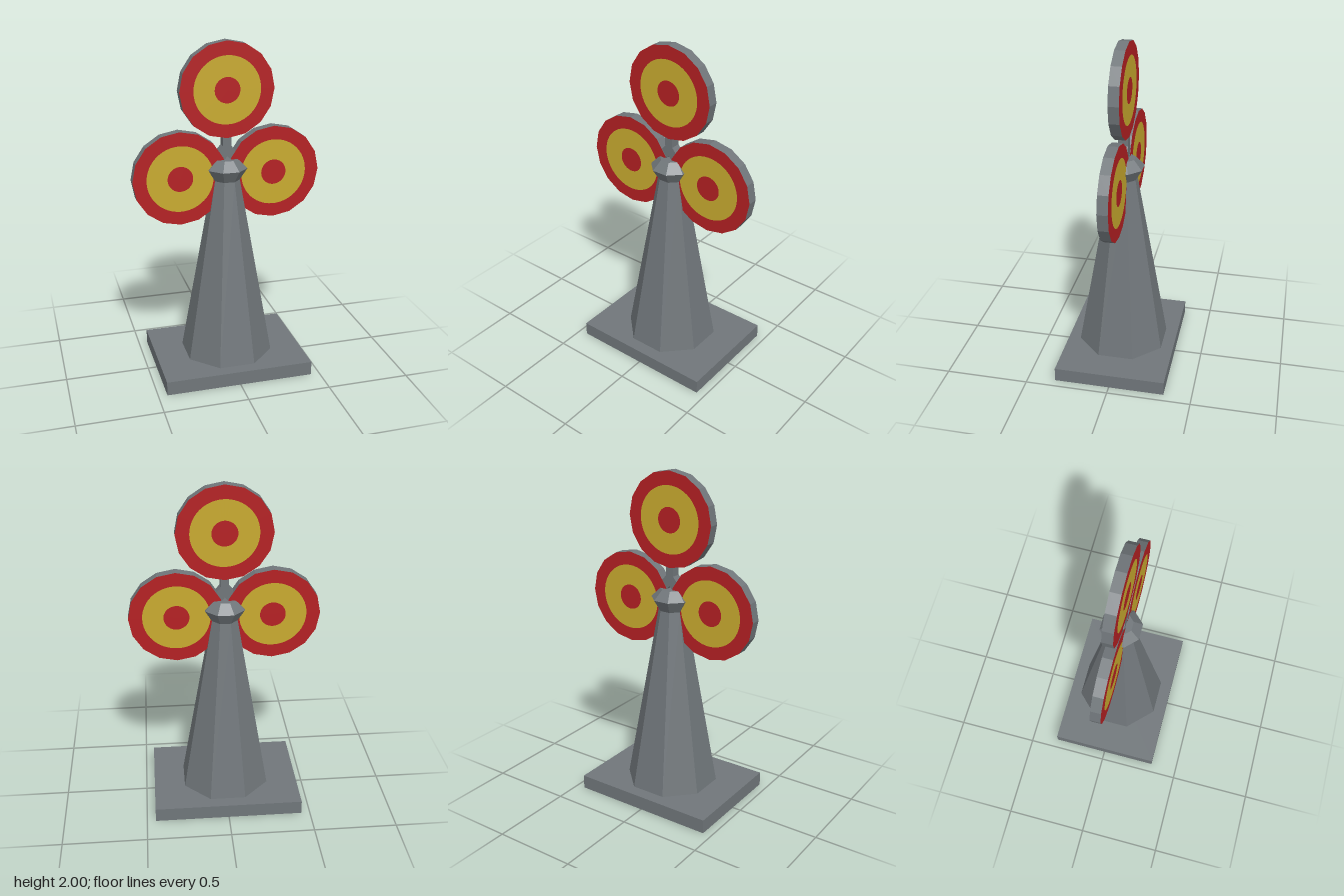
import * as THREE from 'three';

const mat = (name, color) => {
  const m = new THREE.MeshStandardMaterial({ color });
  m.name = name;
  return m;
};

// Hard facets
const faceted = (geometry) => {
  const g = geometry.index ? geometry.toNonIndexed() : geometry;
  g.computeVertexNormals();
  return g;
};

export function createModel() {
  const model = new THREE.Group();
  model.name = 'targetTower';
  const stone = mat('stone grey', 0x70767a);
  const red = mat('target red', 0xb42023);
  const yellow = mat('target yellow', 0xc8aa2f);

  const add = (parent, name, geometry, material, x = 0, y = 0, z = 0) => {
    const mesh = new THREE.Mesh(geometry, material);
    mesh.name = name;
    mesh.position.set(x, y, z);
    parent.add(mesh);
    return mesh;
  };

  // Base slab
  add(model, 'base', new THREE.BoxGeometry(0.894, 0.085, 0.666), stone, 0, 0.0425, 0);

  // Octagonal sections, sized by half their flat-to-flat width
  const octagon = (name, bottom, top, y0, y1, open) => {
    const k = 1 / Math.cos(Math.PI / 8);
    const g = new THREE.CylinderGeometry(top * k, bottom * k, y1 - y0, 8, 1, open, Math.PI / 8);
    add(model, name, faceted(g), stone, 0, (y0 + y1) / 2, 0);
  };
  octagon('tower', 0.258, 0.075, 0.085, 1.19, false);
  octagon('collarLower', 0.075, 0.115, 1.19, 1.26, false);
  octagon('collarUpper', 0.115, 0.065, 1.26, 1.315, false);

  // Forked bracket joining the three targets
  const half = [[0.025, 1.46], [0.025, 1.395], [0.085, 1.325], [0.055, 1.275], [0, 1.335]];
  const outline = [...half, ...half.slice(0, -1).reverse().map(([x, y]) => [-x, y])];
  const shape = new THREE.Shape(outline.map(([x, y]) => new THREE.Vector2(x, y)));
  const bracket = new THREE.ExtrudeGeometry(shape, { depth: 0.058, bevelEnabled: false });
  add(model, 'bracket', bracket, stone, 0, 0, -0.029);

  // Targets: grey rim, red faces, yellow ring and red bullseye on both sides
  const disc = faceted(new THREE.CylinderGeometry(0.278, 0.278, 0.062, 16).rotateX(Math.PI / 2));
  // Rim uses the first material; both caps use the second
  disc.clearGroups();
  disc.addGroup(0, 96, 0);
  disc.addGroup(96, 96, 1);
  const ring = new THREE.RingGeometry(0.075, 0.197, 48);
  const bullseye = new THREE.CircleGeometry(0.075, 48);

  const target = (name, x, y) => {
    const group = new THREE.Group();
    group.name = name;
    group.position.set(x, y, 0);
    add(group, 'disc', disc, [stone, red]);
    for (const side of [1, -1]) {
      const face = new THREE.Group();
      face.name = side > 0 ? 'frontFace' : 'backFace';
      face.rotation.y = side > 0 ? 0 : Math.PI;
      add(face, 'yellowRing', ring, yellow, 0, 0, 0.0325);
      add(face, 'bullseye', bullseye, red, 0, 0, 0.0325);
      group.add(face);
    }
    model.add(group);
  };
  target('topTarget', 0, 1.722);
  target('leftTarget', 0.28, 1.22);
  target('rightTarget', -0.28, 1.22);

  return model;
}
